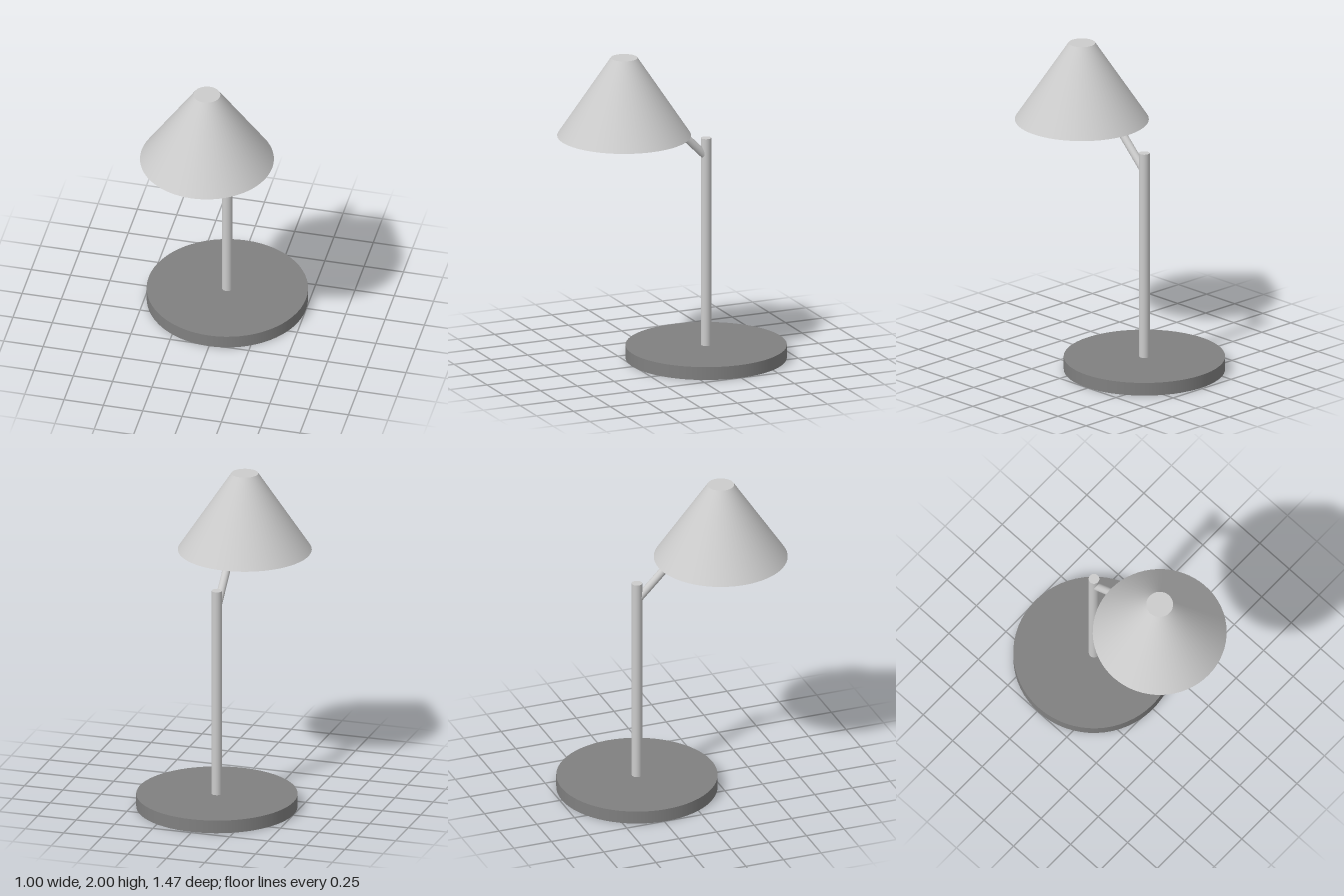
import * as THREE from 'three';

export function createModel() {
  const lamp = new THREE.Group();
  lamp.name = 'deskLamp';
  const light = new THREE.MeshStandardMaterial({ color: 0xcccccc });
  const dark = new THREE.MeshStandardMaterial({ color: 0x808080 });
  const postZ = -0.237;

  // Closed cylinder or cone running from point a to point b
  function rod(name, a, b, radiusA, radiusB, sides, material) {
    const start = new THREE.Vector3(...a), end = new THREE.Vector3(...b);
    const axis = end.clone().sub(start);
    const mesh = new THREE.Mesh(
      new THREE.CylinderGeometry(radiusB, radiusA, axis.length(), sides), material);
    mesh.name = name;
    mesh.position.copy(start).add(end).multiplyScalar(0.5);
    mesh.quaternion.setFromUnitVectors(new THREE.Vector3(0, 1, 0), axis.normalize());
    lamp.add(mesh);
  }

  // Round foot and upright post
  rod('base', [0, 0, postZ], [0, 0.083, postZ], 0.5, 0.5, 64, dark);
  rod('post', [0, 0.083, postZ], [0, 1.417, postZ], 0.033, 0.033, 32, light);

  // Slanted arm from inside the post into the shade
  rod('arm', [0, 1.298, postZ], [0, 1.652, postZ + 0.354], 0.025, 0.025, 32, light);

  // Truncated cone shade, closed at both ends
  rod('shade', [0, 1.5, 0.32], [0, 2, 0.32], 0.415, 0.083, 64, light);

  return lamp;
}
